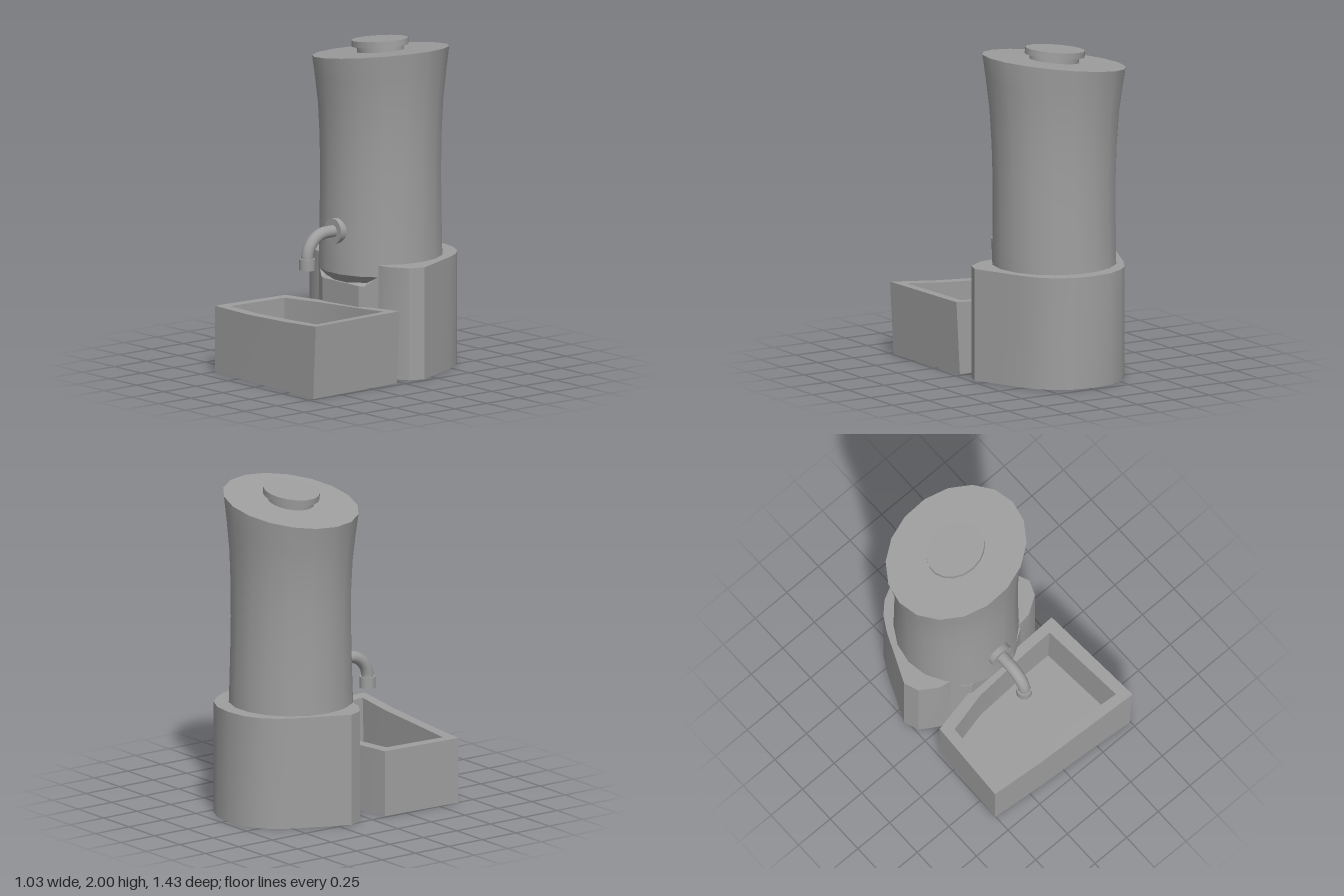
import * as THREE from 'three';
import { toCreasedNormals } from 'three/addons/utils/BufferGeometryUtils.js';

const STONE = 0x9e9e9e;
const stone = new THREE.MeshStandardMaterial({ color: STONE });
const stoneOpen = new THREE.MeshStandardMaterial({ color: STONE, side: THREE.DoubleSide });

function part(name, geometry, material = stone) {
  const mesh = new THREE.Mesh(geometry, material);
  mesh.name = name;
  return mesh;
}

// Skin closed rings of [x, y, z] points, each running front -> +x -> back -> -x.
function loft(rings) {
  const n = rings[0].length;
  const index = [];
  for (let i = 0; i < rings.length - 1; i++) {
    for (let j = 0; j < n; j++) {
      const k = (j + 1) % n;
      const a = i * n + j, b = i * n + k, c = a + n, d = b + n;
      index.push(a, b, d, a, d, c);
    }
  }
  const geometry = new THREE.BufferGeometry();
  geometry.setAttribute('position', new THREE.Float32BufferAttribute(rings.flat(2), 3));
  geometry.setIndex(index);
  return toCreasedNormals(geometry, 0.5);
}

// Place a flat [x, z] outline at a height, or collapse it to its middle.
const ringAt = (outline, y) => outline.map(([x, z]) => [x, y, z]);
function middleAt(outline, y) {
  const mean = (i) => outline.reduce((s, p) => s + p[i], 0) / outline.length;
  const point = [mean(0), y, mean(1)];
  return outline.map(() => point);
}

// Flared tank with an oval, slanted top
const TANK_X = -0.032, TANK_Z = -0.255, SLOPE = 0.14;
function tankGeometry() {
  const profile = [
    [0, 0.545], [0.315, 0.545], [0.375, 0.605], [0.375, 0.8], [0.376, 1.0], [0.379, 1.2],
    [0.387, 1.4], [0.402, 1.6], [0.426, 1.77], [0.449, 1.908], [0, 1.908],
  ].map(([r, y]) => new THREE.Vector2(r, y));
  const geometry = new THREE.LatheGeometry(profile, 18, Math.PI / 2);
  const pos = geometry.attributes.position;
  for (let i = 0; i < pos.count; i++) {
    const x = pos.getX(i), y = pos.getY(i);
    const slant = THREE.MathUtils.clamp((y - 1.0) / 0.908, 0, 1);
    pos.setY(i, y + x * SLOPE * slant);
    pos.setZ(i, pos.getZ(i) * (1 - 0.118 * Math.max(0, y - 0.6)));
  }
  return toCreasedNormals(geometry, 0.6);
}

// Lid: neck and cap, tilted a little less than the tank top
function createLid() {
  const lid = new THREE.Group();
  lid.name = 'lid';
  const neck = part('lidNeck', new THREE.CylinderGeometry(0.155, 0.155, 0.07, 18));
  neck.position.y = 0.01;
  const cap = part('lidCap', new THREE.CylinderGeometry(0.187, 0.187, 0.038, 18));
  cap.position.y = 0.052;
  lid.add(neck, cap);
  lid.scale.z = 0.845;
  lid.rotation.z = 0.11;
  lid.position.set(TANK_X, 1.908, TANK_Z);
  return lid;
}

// Pedestal: hollow shell notched in front for the tank, with two plates underneath
function createPedestal() {
  const group = new THREE.Group();
  group.name = 'pedestal';
  const cx = -0.022;
  // x, z and wall height, from the front to the back
  const half = [
    [0.165, 0.065, 0.545], [0.2, 0.045, 0.545], [0.275, 0, 0.605], [0.275, 0, 0.68],
    [0.35, -0.01, 0.68], [0.46, -0.08, 0.68], [0.495, -0.17, 0.68], [0.425, -0.33, 0.68],
    [0.36, -0.48, 0.68], [0.305, -0.575, 0.68], [0.235, -0.645, 0.68], [0.13, -0.698, 0.68],
  ];
  const right = half.map(([x, z, top]) => [cx + x, z, top]);
  const left = half.map(([x, z, top]) => [cx - x, z, top]).reverse();
  const outline = [...right, [cx, -0.715, 0.68], ...left];
  const topEdge = outline.map(([x, z, top]) => [x, top, z]);
  group.add(part('pedestalShell',
    loft([ringAt(outline, 0), topEdge, middleAt(outline, 0.68)]), stoneOpen));
  [['rightSole', left.slice(2)], ['leftSole', right.slice(0, 10)]].forEach(([name, edge]) => {
    group.add(part(name, loft([middleAt(edge, 0), ringAt(edge, 0)]), stoneOpen));
  });
  return group;
}

// Basin: skewed open trough with bowed long sides and a rim rising towards +x
function basinGeometry() {
  const outer = [
    [-0.505, 0.637], [-0.16, 0.668], [0.2, 0.69], [0.517, 0.713],
    [0.477, 0.027], [0.2, 0.03], [-0.16, 0.045], [-0.48, 0.108],
  ];
  const inner = [
    [-0.437, 0.573], [-0.16, 0.603], [0.2, 0.622], [0.445, 0.645],
    [0.405, 0.09], [0.2, 0.092], [-0.16, 0.11], [-0.415, 0.17],
  ];
  const narrow = (pts, d) => pts.map(([x, z]) => [x > 0.3 ? x - d : x, z]);
  const rim = (pts) => pts.map(([x, z]) => [x, 0.4 + 0.043 * Math.max(0, x + 0.5) ** 2, z]);
  const foot = narrow(outer, 0.024), floor = narrow(inner, 0.012);
  return loft([
    middleAt(foot, 0), ringAt(foot, 0), rim(outer), rim(inner), ringAt(floor, 0.06), middleAt(floor, 0.06),
  ]);
}

// Tap: wall flange, bent pipe and nozzle
function createTap() {
  const tap = new THREE.Group();
  tap.name = 'tap';
  const flange = part('tapFlange', new THREE.CylinderGeometry(0.076, 0.076, 0.06, 20));
  flange.rotation.x = Math.PI / 2;
  flange.position.set(0, 0.865, 0.105);
  const path = new THREE.CurvePath();
  const v = (y, z) => new THREE.Vector3(0, y, z);
  path.add(new THREE.LineCurve3(v(0.865, 0.1), v(0.865, 0.19)));
  path.add(new THREE.CubicBezierCurve3(v(0.865, 0.19), v(0.865, 0.27), v(0.8, 0.335), v(0.72, 0.335)));
  path.add(new THREE.LineCurve3(v(0.72, 0.335), v(0.68, 0.335)));
  const pipe = part('tapPipe', new THREE.TubeGeometry(path, 24, 0.037, 14));
  const nozzle = part('tapNozzle', new THREE.CylinderGeometry(0.048, 0.048, 0.068, 16));
  nozzle.position.set(0, 0.69, 0.335);
  tap.add(flange, pipe, nozzle);
  tap.position.x = -0.01;
  return tap;
}

export function createModel() {
  const model = new THREE.Group();
  model.name = 'waterDispenser';
  const tank = part('tank', tankGeometry());
  tank.position.set(TANK_X, 0, TANK_Z);
  model.add(tank, createLid(), createPedestal(), part('basin', basinGeometry()), createTap());
  return model;
}
